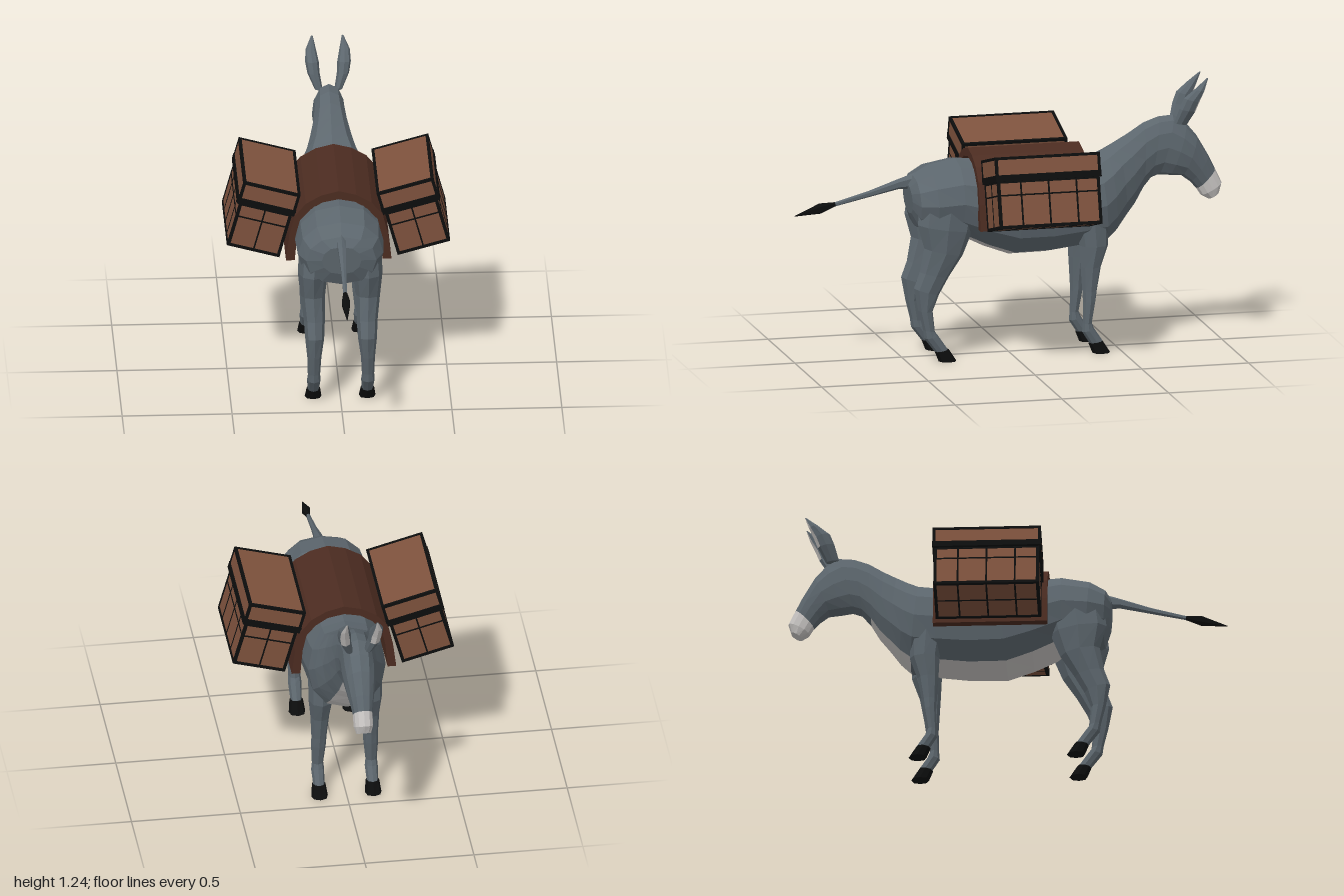
import * as THREE from 'three';

const mat = (name, color, flatShading = false) => {
  const m = new THREE.MeshStandardMaterial({ color, flatShading });
  m.name = name;
  return m;
};

export function createModel() {
  const coat = mat('grey coat', 0x5c666d);
  const pale = mat('pale fur', 0xc6c3c1);
  const black = mat('black', 0x0c0d0d);
  const leather = mat('dark leather', 0x4c2c21);
  const wood = mat('brown case', 0x7e523d);
  const model = new THREE.Group();
  model.name = 'packDonkey';

  // Ring spanning point A (z, y) to point B (z, y), with half width w around x = cx
  const ring = ([az, ay, bz, by, w, cx = 0], n, power) => {
    const pts = [];
    for (let i = 0; i < n; i++) {
      const a = (i / n) * Math.PI * 2, c = (1 + Math.cos(a)) / 2, s = Math.sin(a);
      const x = cx + w * Math.sign(s) * Math.abs(s) ** power;
      pts.push(new THREE.Vector3(x, by + (ay - by) * c, bz + (az - bz) * c));
    }
    return pts;
  };

  // Faceted skin over rings; pick(segment, sector) chooses the material
  function loft(name, sections, n, pick, power = 1) {
    const rings = sections.map((s) => ring(s, n, power));
    const tris = [];
    const last = rings.length - 1;
    for (let i = 0; i < last; i++) {
      for (let j = 0; j < n; j++) {
        const k = (j + 1) % n, m = pick(i, j);
        tris.push([m, rings[i][j], rings[i][k], rings[i + 1][k]]);
        tris.push([m, rings[i][j], rings[i + 1][k], rings[i + 1][j]]);
      }
    }
    for (let j = 1; j < n - 1; j++) {
      tris.push([pick(0, j), rings[0][0], rings[0][j + 1], rings[0][j]]);
      tris.push([pick(last - 1, j), rings[last][0], rings[last][j], rings[last][j + 1]]);
    }
    // Turn all faces outward
    const volume = tris.reduce((v, [, a, b, c]) => v + a.dot(b.clone().cross(c)), 0);
    const group = new THREE.Group();
    group.name = name;
    for (const m of new Set(tris.map((t) => t[0]))) {
      const pts = tris.filter((t) => t[0] === m)
        .flatMap(([, a, b, c]) => (volume > 0 ? [a, b, c] : [a, c, b]));
      const geo = new THREE.BufferGeometry().setFromPoints(pts);
      geo.computeVertexNormals();
      const mesh = new THREE.Mesh(geo, m);
      mesh.name = `${name} ${m.name}`;
      group.add(mesh);
    }
    model.add(group);
  }

  // Torso, neck and head: top (z, y), underside (z, y), half width
  const torso = [
    [0.475, 0.81, 0.465, 0.67, 0.09],
    [0.45, 0.85, 0.44, 0.61, 0.16],
    [0.38, 0.89, 0.36, 0.575, 0.195],
    [0.25, 0.915, 0.25, 0.565, 0.2],
    [0.10, 0.905, 0.12, 0.50, 0.2],
    [-0.05, 0.89, 0, 0.455, 0.198],
    [-0.2, 0.88, -0.17, 0.457, 0.19],
    [-0.33, 0.885, -0.32, 0.475, 0.185],
    [-0.40, 0.895, -0.44, 0.49, 0.178],
    [-0.45, 0.92, -0.49, 0.535, 0.155],
    [-0.50, 0.95, -0.54, 0.60, 0.125],
    [-0.56, 0.985, -0.58, 0.65, 0.105],
    [-0.63, 1.03, -0.62, 0.72, 0.085],
    [-0.70, 1.055, -0.66, 0.77, 0.076],
    [-0.77, 1.06, -0.70, 0.785, 0.074],
    [-0.83, 1.02, -0.75, 0.78, 0.076],
    [-0.88, 0.96, -0.81, 0.775, 0.07],
    [-0.935, 0.865, -0.85, 0.745, 0.055],
    [-0.967, 0.80, -0.88, 0.712, 0.045],
    [-0.998, 0.735, -0.9, 0.68, 0.045],
    [-0.985, 0.69, -0.935, 0.66, 0.034],
  ];
  loft('body', torso, 12, (i, j) => {
    const under = j === 5 || j === 6;
    const belly = i >= 3 && i <= 6, chest = i >= 8 && i <= 11;
    return i >= 18 || (under && (belly || chest)) ? pale : coat;
  }, 0.85);

  // Legs: front (z, y), back (z, y), half width, centre x
  const hindLeg = [
    [0.17, 0.76, 0.44, 0.76, 0.07, 0.115],
    [0.20, 0.60, 0.455, 0.64, 0.068, 0.125],
    [0.245, 0.49, 0.425, 0.53, 0.056, 0.125],
    [0.31, 0.39, 0.445, 0.42, 0.048, 0.12],
    [0.355, 0.31, 0.472, 0.345, 0.043, 0.12],
    [0.385, 0.235, 0.452, 0.24, 0.032, 0.122],
    [0.375, 0.14, 0.43, 0.15, 0.028, 0.123],
    [0.36, 0.12, 0.425, 0.11, 0.031, 0.123],
    [0.315, 0.055, 0.375, 0.045, 0.026, 0.123],
  ];
  const foreLeg = [
    [-0.44, 0.66, -0.28, 0.66, 0.06, 0.11],
    [-0.44, 0.50, -0.305, 0.50, 0.056, 0.113],
    [-0.405, 0.40, -0.31, 0.40, 0.043, 0.115],
    [-0.385, 0.29, -0.317, 0.29, 0.035, 0.118],
    [-0.378, 0.24, -0.32, 0.24, 0.034, 0.12],
    [-0.36, 0.14, -0.318, 0.14, 0.026, 0.123],
    [-0.37, 0.115, -0.315, 0.10, 0.03, 0.123],
    [-0.41, 0.055, -0.35, 0.045, 0.026, 0.123],
  ];
  const hoof = (z) => [
    [z - 0.035, 0.055, z + 0.03, 0.045, 0.031, 0.123],
    [z - 0.07, 0, z + 0.012, 0, 0.038, 0.123],
  ];
  // Ears: front (z, y), back (z, y), half width, centre x
  const ear = [
    [-0.825, 1.02, -0.765, 1.03, 0.018, 0.045],
    [-0.86, 1.085, -0.785, 1.10, 0.028, 0.067],
    [-0.878, 1.13, -0.805, 1.15, 0.031, 0.073],
    [-0.9, 1.18, -0.855, 1.19, 0.024, 0.077],
    [-0.919, 1.236, -0.912, 1.236, 0.004, 0.07],
  ];
  for (const side of [1, -1]) {
    const label = side > 0 ? 'right' : 'left';
    const flip = (rows) => rows.map((r) => [...r.slice(0, 5), r[5] * side]);
    loft(`${label} hind leg`, flip(hindLeg), 8, () => coat);
    loft(`${label} fore leg`, flip(foreLeg), 8, () => coat);
    loft(`${label} hind hoof`, flip(hoof(0.345)), 8, () => black, 0.8);
    loft(`${label} fore hoof`, flip(hoof(-0.375)), 8, () => black, 0.8);
    loft(`${label} ear`, flip(ear), 8, (i, j) => (i > 0 && (j === 0 || j === 7) ? pale : coat));
  }

  // Tail with dark tuft
  loft('tail', [
    [0.43, 0.86, 0.43, 0.78, 0.026],
    [0.52, 0.83, 0.51, 0.785, 0.02],
    [0.65, 0.785, 0.65, 0.755, 0.013],
    [0.82, 0.738, 0.82, 0.718, 0.01],
  ], 6, () => coat);
  loft('tail tuft', [
    [0.81, 0.74, 0.81, 0.72, 0.01],
    [0.885, 0.738, 0.88, 0.69, 0.022],
    [1, 0.687, 1, 0.683, 0.002],
  ], 6, () => black);

  // Saddle blanket arched over the back
  const outer = [[0.24, 0.62], [0.225, 0.74], [0.2, 0.84], [0.15, 0.9], [0.08, 0.94], [0, 0.96]];
  const inner = [[0, 0.92], [0.075, 0.905], [0.13, 0.87], [0.172, 0.82], [0.19, 0.74], [0.2, 0.62]];
  const mirror = (pts) => pts.slice().reverse().map(([x, y]) => [-x, y]);
  const outline = [...outer, ...mirror(outer).slice(1), ...mirror(inner), ...inner.slice(1)];
  // inner half arcs are joined left to right so the outline closes on itself
  const arch = new THREE.Shape(outline.map(([x, y]) => new THREE.Vector2(x, y)));
  const saddle = new THREE.Mesh(
    new THREE.ExtrudeGeometry(arch, { depth: 0.52, bevelEnabled: false }), leather);
  saddle.name = 'saddle';
  saddle.position.z = -0.33;
  model.add(saddle);

  // Cases with dark edging, tilted outward on each flank
  const box = (parent, name, m, size, pos = [0, 0, 0]) => {
    const mesh = new THREE.Mesh(new THREE.BoxGeometry(...size), m);
    mesh.name = name;
    mesh.position.set(...pos);
    parent.add(mesh);
  };
  const edged = (parent, name, [w, h, d], y, t) => {
    box(parent, name, wood, [w, h, d], [0, y, 0]);
    const e = 0.006;
    for (const a of [-1, 1]) {
      for (const b of [-1, 1]) {
        const px = (a * (w - t + e)) / 2, pz = (b * (d - t + e)) / 2;
        box(parent, `${name} upright edge`, black, [t, h + e, t], [px, y, pz]);
        box(parent, `${name} long edge`, black, [t, t, d + e], [px, y + (b * (h - t + e)) / 2, 0]);
        box(parent, `${name} end edge`, black, [w + e, t, t], [0, y + (a * (h - t + e)) / 2, pz]);
      }
    }
  };
  for (const side of [1, -1]) {
    const pack = new THREE.Group();
    pack.name = side > 0 ? 'right case' : 'left case';
    edged(pack, 'case body', [0.242, 0.215, 0.474], -0.053, 0.014);
    edged(pack, 'case lid', [0.262, 0.102, 0.486], 0.109, 0.013);
    box(pack, 'lid band', black, [0.272, 0.03, 0.494], [0, 0.066, 0]);
    // thin seams wrapping the body
    box(pack, 'level seam', black, [0.246, 0.007, 0.478], [0, -0.012, 0]);
    box(pack, 'middle seam', black, [0.007, 0.219, 0.478], [0, -0.053, 0]);
    for (const z of [-0.13, 0, 0.13]) {
      box(pack, 'cross seam', black, [0.246, 0.219, 0.008], [0, -0.053, z]);
    }
    pack.position.set(side * 0.345, 0.815, -0.075);
    pack.rotation.z = side * 0.27;
    model.add(pack);
  }
  return model;
}
